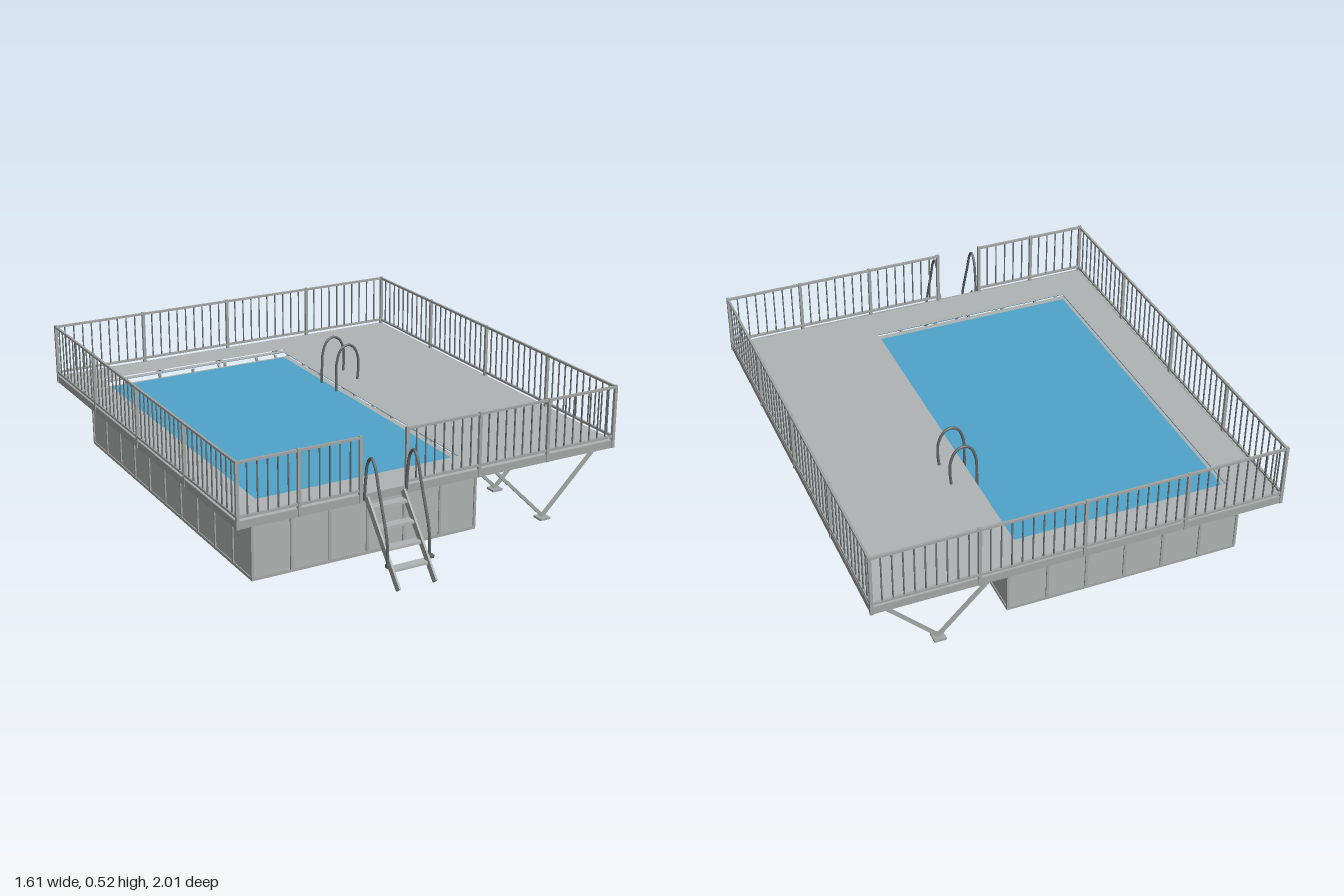
import * as THREE from 'three';
import { mergeGeometries } from 'three/addons/utils/BufferGeometryUtils.js';

const mat = (name, color) => {
  const m = new THREE.MeshStandardMaterial({ color });
  m.name = name;
  return m;
};

// Deck outline, pool opening and pool hull limits
const DECK = { x0: -0.8, x1: 0.8, z0: -1, z1: 0.76 };
const OPEN = { x0: -0.655, x1: 0.21, z0: -0.855, z1: 0.61 };
const HULL = { x0: -0.69, x1: 0.245, z0: -0.885, z1: 0.645 };
const TOP = 0.295;

const box = (x0, x1, y0, y1, z0, z1) =>
  new THREE.BoxGeometry(x1 - x0, y1 - y0, z1 - z0).translate((x0 + x1) / 2, (y0 + y1) / 2, (z0 + z1) / 2);
const slab = (r, y0, y1) => box(r.x0, r.x1, y0, y1, r.z0, r.z1);

// Square bar between two points
function bar(a, b, w, d = w) {
  const A = new THREE.Vector3(...a), B = new THREE.Vector3(...b);
  const g = new THREE.BoxGeometry(w, d, A.distanceTo(B));
  const m = new THREE.Matrix4().lookAt(B, A, Math.abs(B.y - A.y) > 0.99 * A.distanceTo(B)
    ? new THREE.Vector3(0, 0, 1) : new THREE.Vector3(0, 1, 0));
  m.setPosition(A.add(B).multiplyScalar(0.5));
  return g.applyMatrix4(m);
}

// Rectangular ring with a rectangular hole
function ring(o, i, y0, y1) {
  const pts = (r) => [[r.x0, -r.z0], [r.x1, -r.z0], [r.x1, -r.z1], [r.x0, -r.z1]].map(p => new THREE.Vector2(...p));
  const s = new THREE.Shape(pts(o));
  s.holes.push(new THREE.Path(pts(i)));
  return new THREE.ExtrudeGeometry(s, { depth: y1 - y0, bevelEnabled: false })
    .rotateX(-Math.PI / 2).translate(0, y0, 0);
}

const inset = (r, d) => ({ x0: r.x0 + d, x1: r.x1 - d, z0: r.z0 + d, z1: r.z1 - d });

const tube = (pts, r) => new THREE.TubeGeometry(
  new THREE.CatmullRomCurve3(pts.map(p => new THREE.Vector3(...p))), 40, r, 8);

export function createModel() {
  const deckGrey = mat('deck grey', 0xb0b4b3);
  const panelGrey = mat('panel grey', 0xadb1b0);
  const frameGrey = mat('frame grey', 0xa0a4a3);
  const railGrey = mat('baluster grey', 0x6c7070);
  const steel = mat('handrail steel', 0x626666);
  const water = mat('water blue', 0x4fa3c9);
  const liner = mat('liner blue', 0x2d6a9c);

  const model = new THREE.Group();
  const add = (name, geos, material) => {
    const list = [].concat(geos).map(g => (g.index ? g.toNonIndexed() : g));
    const mesh = new THREE.Mesh(mergeGeometries(list), material);
    mesh.name = name;
    model.add(mesh);
  };

  // Deck and its edge frame
  add('deck', ring(inset(DECK, 0.004), OPEN, 0.28, TOP), deckGrey);
  add('deckFascia', ring(DECK, inset(DECK, 0.012), 0.265, TOP), frameGrey);

  // Pool
  add('poolHull', [slab(HULL, 0.006, 0.25), ring(HULL, OPEN, 0.25, 0.28)], panelGrey);
  add('poolFloor', slab(inset(HULL, 0.003), 0.002, 0.006), liner);
  add('poolLiner', ring(OPEN, inset(OPEN, 0.003), 0.25, 0.281), liner);
  add('water', slab(OPEN, 0.25, 0.257), water);

  // Hull ribs, corner posts and rails
  const ribs = [ring(inset(HULL, -0.004), inset(HULL, 0.006), 0, 0.012),
    ring(inset(HULL, -0.004), inset(HULL, 0.006), 0.255, 0.27)];
  for (let i = 0; i <= 6; i++) {
    const x = THREE.MathUtils.lerp(HULL.x0, HULL.x1, i / 6);
    for (const z of [HULL.z0, HULL.z1]) ribs.push(box(x - 0.005, x + 0.005, 0.01, 0.265, z - 0.005, z + 0.005));
  }
  for (let i = 1; i < 10; i++) {
    const z = THREE.MathUtils.lerp(HULL.z0, HULL.z1, i / 10);
    for (const x of [HULL.x0, HULL.x1]) ribs.push(box(x - 0.005, x + 0.005, 0.01, 0.265, z - 0.005, z + 0.005));
  }
  add('hullRibs', ribs, frameGrey);

  // Joists, V struts and feet under the wide side of the deck
  const joists = [], struts = [], feet = [];
  for (let i = 0; i < 6; i++) {
    const z = 0.69 - i * 0.323;
    struts.push(bar([0.275, 0.267, z], [0.53, 0.012, z], 0.012),
      bar([0.785, 0.267, z], [0.53, 0.012, z], 0.012),
      box(0.25, 0.79, 0.26, 0.28, z - 0.01, z + 0.01));
    feet.push(box(0.507, 0.553, 0, 0.008, z - 0.023, z + 0.023));
    if (i < 5) for (const k of [1, 2]) {
      const zj = z - k * 0.1077;
      joists.push(box(0.25, 0.79, 0.267, 0.28, zj - 0.008, zj + 0.008));
    }
  }
  add('supportStruts', struts, frameGrey);
  add('supportFeet', feet, frameGrey);
  add('deckJoists', joists, frameGrey);

  // Small angled brackets under the narrow sides
  const brackets = [];
  for (let i = 0; i < 6; i++) {
    const z = 0.56 - i * 0.272;
    brackets.push(bar([HULL.x0, 0.218, z], [-0.755, 0.267, z], 0.009),
      box(-0.79, HULL.x0, 0.267, 0.28, z - 0.006, z + 0.006));
  }
  for (const x of [-0.645, -0.365, -0.08, 0.2]) {
    for (const [zh, zo, ze] of [[HULL.z1, 0.705, 0.75], [HULL.z0, -0.945, -0.99]]) {
      brackets.push(bar([x, 0.218, zh], [x, 0.267, zo], 0.009),
        box(x - 0.006, x + 0.006, 0.267, 0.28, Math.min(zh, ze), Math.max(zh, ze)));
    }
  }
  add('deckBrackets', brackets, frameGrey);

  // Railings: each run lists its post positions
  const posts = [], rails = [], balusters = [];
  function railing(stops, place) {
    stops.forEach((s, i) => {
      const [x, z] = place(s);
      posts.push(box(x - 0.006, x + 0.006, 0.265, 0.518, z - 0.006, z + 0.006));
      if (i === 0) return;
      const p = place(stops[i - 1]);
      for (const y of [0.311, 0.511]) rails.push(bar([p[0], y, p[1]], [x, y, z], 0.009));
      const n = Math.round(Math.abs(s - stops[i - 1]) / 0.04);
      for (let k = 1; k < n; k++) {
        const [bx, bz] = place(THREE.MathUtils.lerp(stops[i - 1], s, k / n));
        balusters.push(box(bx - 0.0022, bx + 0.0022, 0.311, 0.511, bz - 0.0022, bz + 0.0022));
      }
    });
  }
  const ex = 0.797, zb = -0.997, zf = 0.757;
  railing([-ex, -0.4, 0, 0.4, ex], s => [s, zb]);
  railing([-ex, -0.56, -0.315], s => [s, zf]);
  railing([-0.125, 0.185, 0.49, ex], s => [s, zf]);
  for (const x of [-ex, ex]) railing([zf, 0.32, -0.12, -0.56, zb], s => [x, s]);
  add('railingPosts', posts, frameGrey);
  add('railingRails', rails, frameGrey);
  add('railingBalusters', balusters, railGrey);

  // Entry steps with curved handrails
  const stringers = [], treads = [], hand = [];
  for (const x of [-0.297, -0.147]) stringers.push(bar([x, 0.285, 0.77], [x, 0.02, 0.995], 0.008, 0.028));
  for (let i = 0; i < 4; i++) {
    const z = 0.79 + i * 0.048, y = 0.255 - i * 0.0605;
    treads.push(box(-0.295, -0.149, y - 0.005, y + 0.005, z - 0.018, z + 0.018));
  }
  for (const x of [-0.308, -0.136]) {
    hand.push(tube([[x, 0.09, 0.938], [x, 0.19, 0.93], [x, 0.28, 0.9], [x, 0.36, 0.87], [x, 0.43, 0.845],
      [x, 0.455, 0.82], [x, 0.43, 0.795], [x, 0.36, 0.78], [x, 0.28, 0.772]], 0.0055));
    hand.push(box(x - 0.006, x + 0.014, 0.085, 0.097, 0.93, 0.946));
  }
  add('stepStringers', stringers, frameGrey);
  add('stepTreads', treads, deckGrey);
  add('stepHandrails', hand, steel);

  // Pair of arched grab rails at the pool edge
  const grabs = [-0.47, -0.345].map(z => tube([[0.195, 0.25, z], [0.196, 0.33, z], [0.2, 0.39, z], [0.22, 0.438, z],
    [0.25, 0.453, z], [0.28, 0.438, z], [0.3, 0.395, z], [0.303, 0.35, z], [0.298, 0.29, z]], 0.0055));
  add('poolGrabRails', grabs, steel);

  return model;
}
